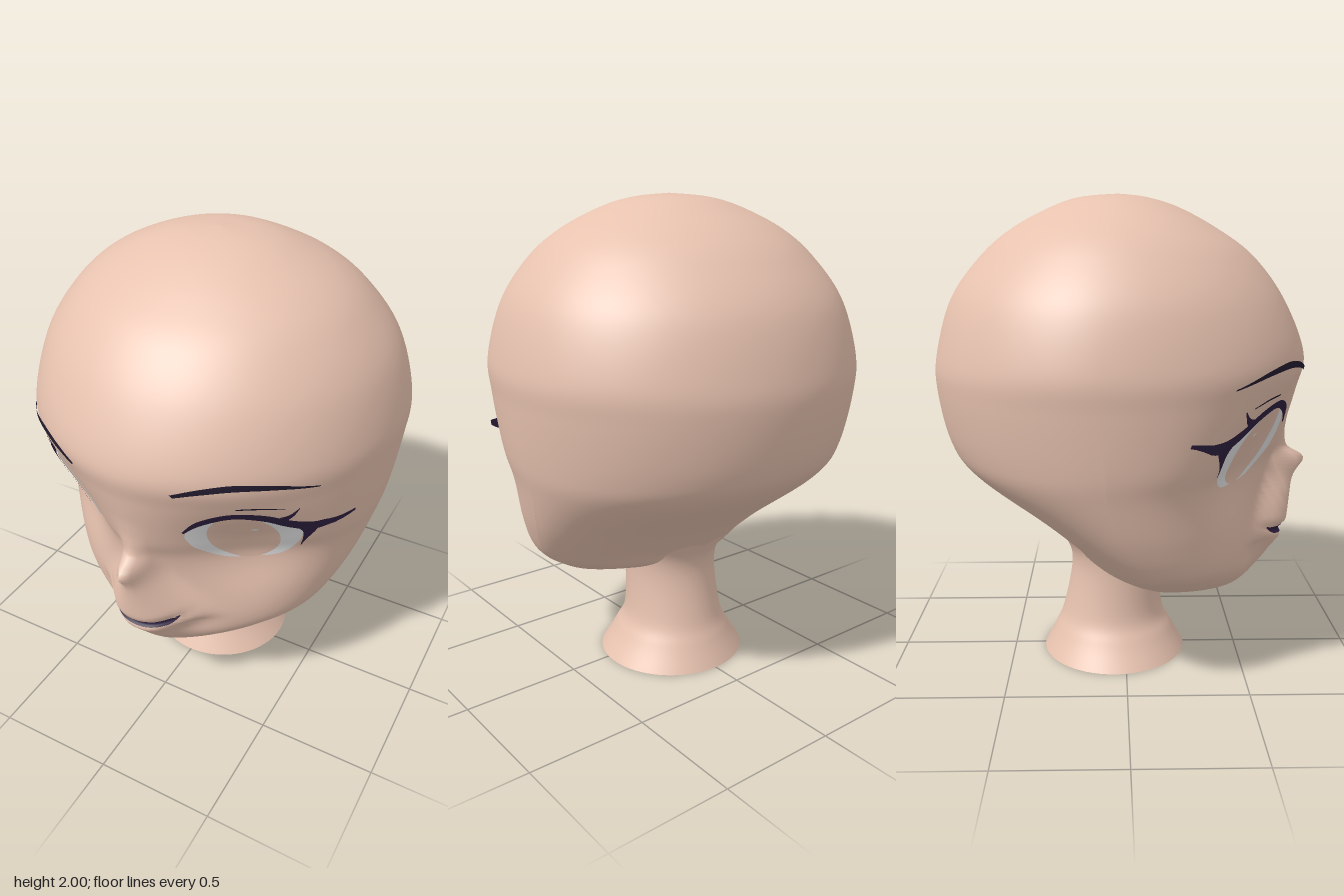
import * as THREE from 'three';

// Head sections from crown to chin: y, half width, back z, z of widest point, front z
const HEAD = [
  [2.0, 0, -0.03, -0.03, -0.03],
  [1.985, 0.16, -0.19, -0.03, 0.09],
  [1.945, 0.3, -0.31, -0.04, 0.22],
  [1.86, 0.47, -0.47, -0.05, 0.38],
  [1.75, 0.595, -0.6, -0.06, 0.53],
  [1.58, 0.71, -0.725, -0.08, 0.66],
  [1.36, 0.77, -0.79, -0.1, 0.753],
  [1.21, 0.765, -0.795, -0.09, 0.737],
  [1.0, 0.74, -0.75, -0.06, 0.695],
  [0.875, 0.71, -0.665, -0.05, 0.645],
  [0.68, 0.65, -0.43, 0.02, 0.59],
  [0.53, 0.57, -0.27, 0.1, 0.56],
  [0.45, 0.47, -0.2, 0.13, 0.56],
  [0.39, 0.36, -0.05, 0.17, 0.545],
  [0.35, 0.25, 0.1, 0.25, 0.525],
  [0.325, 0.12, 0.3, 0.38, 0.49],
  [0.32, 0, 0.43, 0.43, 0.43],
];

// Nose and muzzle: y, depth, half width
const MUZZLE = [
  [1.09, 0, 0.07], [1.0, 0.015, 0.06], [0.93, 0.055, 0.05], [0.875, 0.153, 0.05], [0.785, 0.132, 0.08],
  [0.6, 0.148, 0.18], [0.53, 0.135, 0.15], [0.45, 0.07, 0.12], [0.33, 0, 0.1],
];

// Neck sections: y, half width, front z, back z
const NECK = [
  [0.72, 0.38, 0.05, -0.4], [0.55, 0.235, 0.14, -0.285], [0.42, 0.202, 0.16, -0.237],
  [0.2, 0.212, 0.165, -0.275], [0.1, 0.255, 0.21, -0.315], [0, 0.32, 0.265, -0.365],
];

// Smooth interpolation along a table of sections, t from 0 to 1
function sample(table, t) {
  const n = table.length - 1;
  const i = Math.min(Math.floor(t * n), n - 1), f = t * n - i;
  const a = table[Math.max(i - 1, 0)], b = table[i], c = table[i + 1], d = table[Math.min(i + 2, n)];
  return b.map((p, k) => {
    const m0 = (c[k] - a[k]) / 2, m1 = (d[k] - b[k]) / 2, q = c[k] - p;
    return p + f * (m0 + f * (3 * q - 2 * m0 - m1 + f * (m0 + m1 - 2 * q)));
  });
}

// Section of a table at height y, clamped to its ends
function sectionAt(table, y) {
  let lo = 0, hi = 1;
  for (let i = 0; i < 24; i++) {
    const mid = (lo + hi) / 2;
    if (sample(table, mid)[0] > y) lo = mid; else hi = mid;
  }
  return sample(table, hi);
}

const bell = (v) => Math.exp(-v * v);

// Depth of the face at x on a section: ellipse, eye sockets, nose and muzzle, curved lip crease
function faceDepth(x, [y, w, , zm, zf]) {
  const [, depth, width] = sectionAt(MUZZLE, y);
  const k = w > 1e-5 ? Math.sqrt(Math.max(0, 1 - (x / w) ** 2)) : 0;
  const lip = 0.563 + 0.035 * (x / 0.165) ** 2;
  return zm + (zf - zm) * k
    - 0.13 * bell((Math.abs(x) - 0.4) / 0.25) * bell((y - 0.93) / 0.24)
    + depth * Math.exp(-Math.pow(Math.abs(x) / width, 3))
    - 0.035 * bell((y - lip) / 0.022) * Math.exp(-((x / 0.17) ** 6));
}

// Indexed surface from rows and columns of points
function grid(rows, cols, point, wrap, flip) {
  const pos = [], idx = [], n = wrap ? cols : cols + 1;
  for (let i = 0; i <= rows; i++) for (let j = 0; j < n; j++) pos.push(...point(i / rows, j / cols));
  for (let i = 0; i < rows; i++) for (let j = 0; j < cols; j++) {
    const a = i * n + j, b = i * n + ((j + 1) % n), c = a + n, d = b + n;
    if (flip) idx.push(a, c, b, b, c, d); else idx.push(a, b, c, b, d, c);
  }
  const g = new THREE.BufferGeometry();
  g.setAttribute('position', new THREE.Float32BufferAttribute(pos, 3));
  g.setIndex(idx);
  g.computeVertexNormals();
  return g;
}

const spline = (pts) => new THREE.SplineCurve(pts.map(([x, y]) => new THREE.Vector2(x, y)));

// Thin painted plate between an upper and a lower curve, laid on the face; lash tips lift off the cheek
function plate(upper, lower, lift, side = 1, cols = 32, rows = 6) {
  const top = spline(upper), low = spline(lower);
  return grid(rows, cols, (v, u) => {
    const p = top.getPoint(u).lerp(low.getPoint(u), v);
    const z = faceDepth(p.x, sectionAt(HEAD, p.y)) + lift + 0.8 * Math.max(0, p.x - 0.64);
    return [side * p.x, p.y, z];
  }, false, side > 0);
}

// Upper (s = 1) or lower (s = -1) half of an ellipse
const arc = (cx, cy, rx, ry, s) => Array.from({ length: 17 }, (_, i) => {
  const a = Math.PI * (1 - i / 16);
  return [cx + rx * Math.cos(a), cy + s * ry * Math.sin(a)];
});

export function createModel() {
  const model = new THREE.Group();
  const material = (name, color) => {
    const m = new THREE.MeshStandardMaterial({ color, side: THREE.DoubleSide });
    m.name = name;
    return m;
  };
  const skin = material('skin', 0xe7c2af);
  const white = material('eyeWhite', 0xffffff);
  const dark = material('darkLash', 0x2e2040);
  const browDark = material('darkBrow', 0x221b2e);
  const add = (parent, name, geometry, mat) => {
    const mesh = new THREE.Mesh(geometry, mat);
    mesh.name = name;
    parent.add(mesh);
  };

  // Head: front half follows the face, back half tucks in behind the jaw
  add(model, 'head', grid(160, 144, (v, u) => {
    const s = sample(HEAD, v), a = u * Math.PI * 2;
    const [y, w, zb, zm] = s, c = Math.cos(a), sn = Math.sin(a);
    if (sn >= 0) return [w * c, y, faceDepth(w * c, s)];
    const pinch = 1 + 0.9 * (1 - THREE.MathUtils.smoothstep(y, 0.45, 0.92));
    return [w * Math.sign(c) * Math.pow(Math.abs(c), pinch), y, zm + (zm - zb) * sn];
  }, true), skin);

  // Neck, flaring into the skull and open at the base
  add(model, 'neck', grid(36, 64, (v, u) => {
    const [y, w, zf, zb] = sample(NECK, v), a = u * Math.PI * 2;
    return [w * Math.cos(a), y, (zf + zb) / 2 + ((zf - zb) / 2) * Math.sin(a)];
  }, true), skin);

  // Mouth line
  add(model, 'mouth', plate(
    [[-0.16, 0.603], [-0.12, 0.59], [0, 0.577], [0.12, 0.59], [0.16, 0.603]],
    [[-0.16, 0.597], [-0.12, 0.562], [0, 0.544], [0.12, 0.562], [0.16, 0.597]], 0.005, 1, 40, 8), dark);

  // Eyes and brows, mirrored
  for (const side of [1, -1]) {
    const eye = new THREE.Group();
    eye.name = side > 0 ? 'leftEye' : 'rightEye';
    model.add(eye);
    add(eye, 'eyeWhite', plate(
      [[0.2, 1.04], [0.225, 1.1], [0.29, 1.16], [0.38, 1.185], [0.48, 1.16], [0.555, 1.1], [0.58, 1.05]],
      [[0.2, 1.04], [0.22, 0.96], [0.29, 0.885], [0.38, 0.868], [0.48, 0.878], [0.545, 0.95], [0.58, 1.05]],
      0.005, side, 40, 16), white);
    add(eye, 'iris', plate(arc(0.385, 1.02, 0.113, 0.155, 1), arc(0.385, 1.02, 0.113, 0.152, -1), 0.01, side, 40, 16), skin);
    add(eye, 'highlight', plate(arc(0.43, 1.075, 0.012, 0.007, 1), arc(0.43, 1.075, 0.012, 0.007, -1), 0.014, side, 10, 2), white);
    // Upper lash with wing
    add(eye, 'upperLash', plate(
      [[0.205, 1.085], [0.27, 1.158], [0.38, 1.202], [0.48, 1.18], [0.56, 1.118], [0.63, 1.086], [0.72, 1.103]],
      [[0.208, 1.075], [0.275, 1.13], [0.38, 1.17], [0.47, 1.14], [0.54, 1.078], [0.62, 1.04], [0.72, 1.09]],
      0.014, side), dark);
    // Outer corner running down
    add(eye, 'outerLash', plate(
      [[0.553, 0.937], [0.567, 0.985], [0.572, 1.04], [0.54, 1.1]],
      [[0.555, 0.935], [0.575, 0.975], [0.605, 1.02], [0.63, 1.065]], 0.013, side), dark);
    // Small flick and lid crease
    add(eye, 'outerFlick', plate(
      [[0.52, 1.155], [0.55, 1.164], [0.58, 1.195]],
      [[0.54, 1.13], [0.562, 1.155], [0.58, 1.19]], 0.015, side, 10, 2), dark);
    add(eye, 'lidCrease', plate(
      [[0.4, 1.23], [0.47, 1.224], [0.54, 1.2]],
      [[0.4, 1.223], [0.47, 1.216], [0.54, 1.196]], 0.008, side, 16, 1), browDark);
    // Brow
    add(eye, 'brow', plate(
      [[0.205, 1.31], [0.3, 1.342], [0.41, 1.357], [0.53, 1.335], [0.635, 1.287]],
      [[0.215, 1.297], [0.3, 1.318], [0.41, 1.33], [0.53, 1.316], [0.635, 1.282]], 0.009, side), browDark);
  }
  return model;
}
